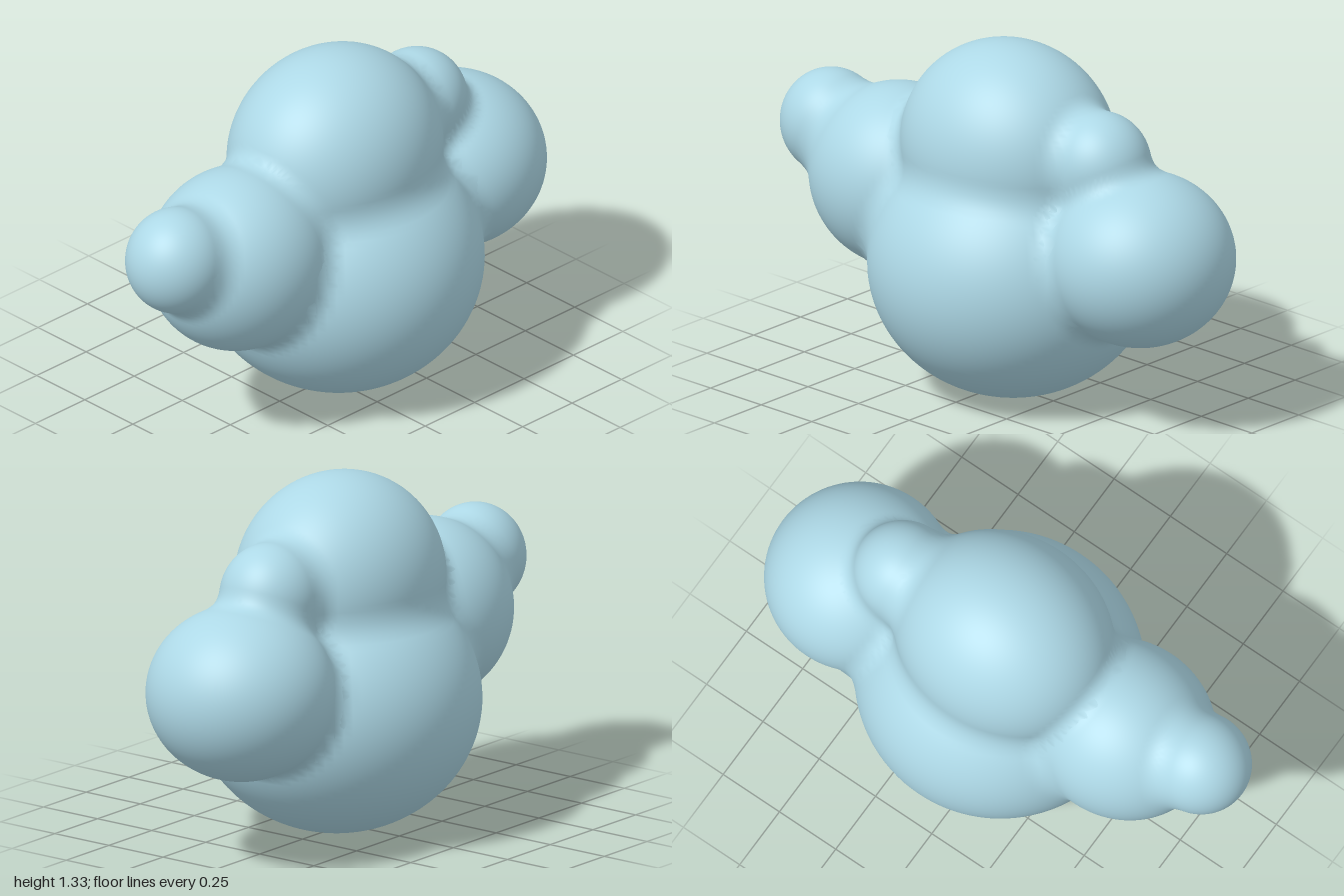
import * as THREE from 'three';

// Each puff of the cloud: name, centre, radii
const PUFFS = [
  ['mainPuff', [0.05, 0.49, 0], [0.53, 0.49, 0.528]],
  ['topPuff', [0.03, 0.935, 0], [0.42, 0.397, 0.364]],
  ['rightPuff', [-0.48, 0.7, 0.023], [0.35, 0.342, 0.322]],
  ['rightTipPuff', [-0.81, 0.825, 0.04], [0.19, 0.197, 0.185]],
  ['leftPuff', [0.65, 0.648, -0.033], [0.347, 0.322, 0.348]],
  ['smallLeftPuff', [0.46, 0.97, -0.02], [0.192, 0.195, 0.185]],
];
const BLEND = 0.065; // width of the soft fillet where puffs meet

// Approximate signed distance to one ellipsoid
function puffDistance(p, [, c, r]) {
  const x = (p.x - c[0]) / r[0], y = (p.y - c[1]) / r[1], z = (p.z - c[2]) / r[2];
  const k0 = Math.hypot(x, y, z);
  const k1 = Math.hypot(x / r[0], y / r[1], z / r[2]);
  return k1 < 1e-6 ? -Math.min(...r) : k0 * (k0 - 1) / k1;
}

// Smooth union of all puffs
function cloudDistance(p) {
  let d = Infinity;
  for (const puff of PUFFS) {
    const e = puffDistance(p, puff);
    const h = Math.max(BLEND - Math.abs(d - e), 0);
    d = Math.min(d, e) - h * h / (4 * BLEND);
  }
  return d;
}

function cloudNormal(p) {
  const s = 0.002, q = new THREE.Vector3(), n = new THREE.Vector3();
  for (const axis of ['x', 'y', 'z']) {
    const a = cloudDistance(q.copy(p).setComponent('xyz'.indexOf(axis), p[axis] + s));
    const b = cloudDistance(q.copy(p).setComponent('xyz'.indexOf(axis), p[axis] - s));
    n[axis] = a - b;
  }
  return n.normalize();
}

// Ellipsoid whose skin swells outward into the fillets beside its neighbours
function makePuff(puff, material) {
  const [name, centre, radii] = puff;
  const geo = new THREE.SphereGeometry(1, 96, 64);
  geo.scale(...radii).translate(...centre);
  const pos = geo.attributes.position, normal = geo.attributes.normal;
  const c = new THREE.Vector3(...centre), p = new THREE.Vector3(), dir = new THREE.Vector3();
  for (let i = 0; i < pos.count; i++) {
    p.fromBufferAttribute(pos, i);
    dir.copy(p).sub(c).normalize();
    let moved = 0;
    for (let k = 0; k < 10; k++) {
      const step = Math.min(Math.max(-cloudDistance(p), 0), BLEND - moved);
      p.addScaledVector(dir, step);
      moved += step;
    }
    pos.setXYZ(i, p.x, p.y, p.z);
    const n = cloudNormal(p);
    normal.setXYZ(i, n.x, n.y, n.z);
  }
  const mesh = new THREE.Mesh(geo, material);
  mesh.name = name;
  return mesh;
}

export function createModel() {
  const group = new THREE.Group();
  group.name = 'cloud';
  const material = new THREE.MeshStandardMaterial({ color: 0xadd8e6 });
  for (const puff of PUFFS) group.add(makePuff(puff, material));
  return group;
}
